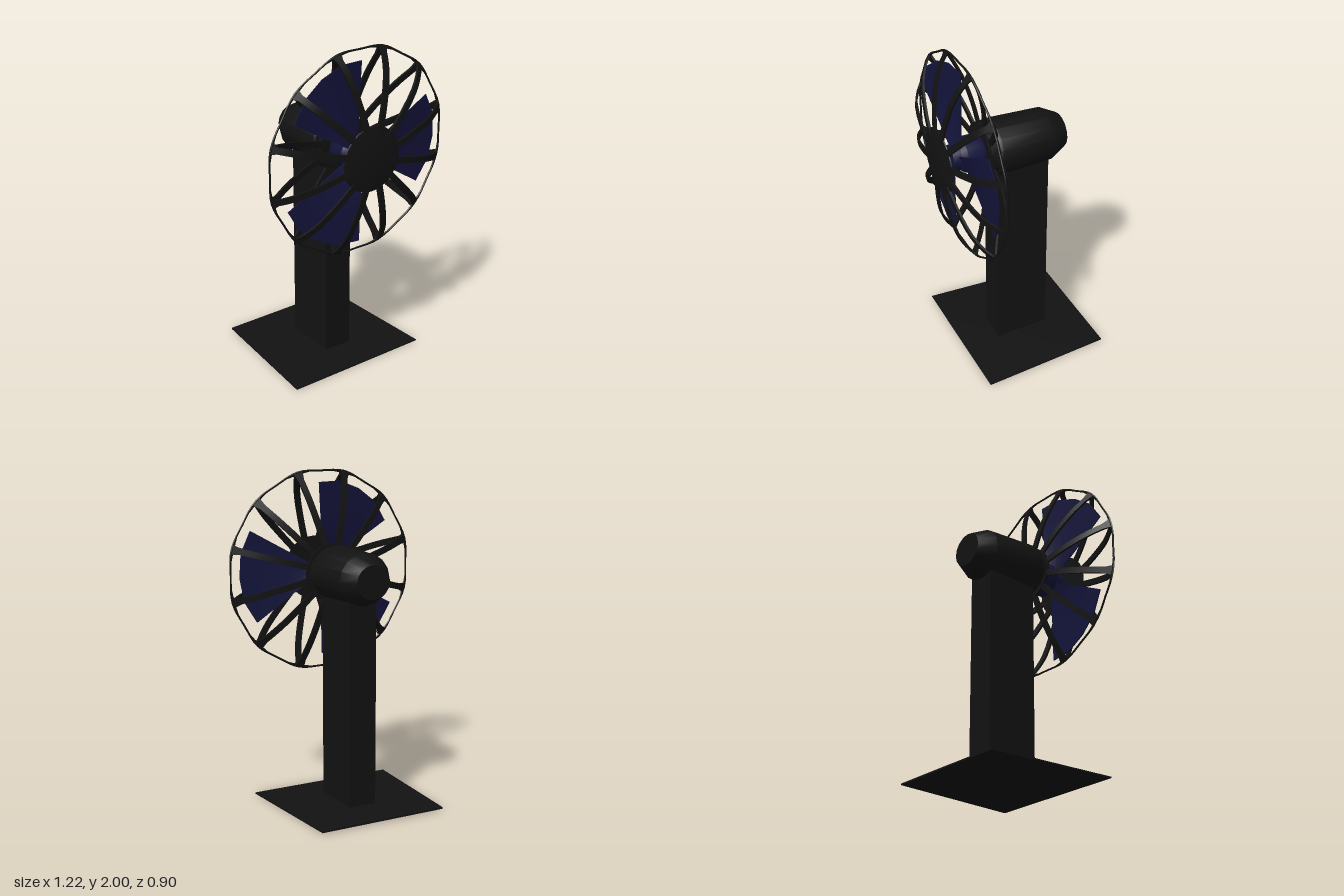
import * as THREE from 'three';
import { toCreasedNormals } from 'three/addons/utils/BufferGeometryUtils.js';

const AXIS_Y = 1.385;
const black = new THREE.MeshStandardMaterial({ color: 0x121212 });
const blue = new THREE.MeshStandardMaterial({ color: 0x14143c, side: THREE.DoubleSide });

function part(name, geometry, material, parent) {
  const mesh = new THREE.Mesh(geometry, material);
  mesh.name = name;
  parent.add(mesh);
  return mesh;
}

// Move every vertex of a geometry by a rule, then sharpen its edges
function reshape(geometry, rule) {
  const p = geometry.attributes.position;
  const v = new THREE.Vector3();
  for (let i = 0; i < p.count; i++) {
    rule(v.fromBufferAttribute(p, i));
    p.setXYZ(i, v.x, v.y, v.z);
  }
  return toCreasedNormals(geometry, 0.5);
}

// Solid of revolution about z; profile is [radius, z] from back to front
function turned(profile, sides) {
  const g = new THREE.LatheGeometry(profile.map(([r, z]) => new THREE.Vector2(r, z)), sides);
  g.rotateX(Math.PI / 2);
  return toCreasedNormals(g, 0.5);
}

// Flat bar following a curve in the radius/z plane
function spokeGeometry(points) {
  const curve = new THREE.CatmullRomCurve3(points.map(([r, z]) => new THREE.Vector3(r, 0, z)));
  return reshape(new THREE.BoxGeometry(1, 1, 1, 10, 1, 1), (v) => {
    const t = v.x + 0.5;
    const c = curve.getPoint(t);
    const flare = t > 0.95 ? 0.06 : 0.038;
    v.set(c.x, v.y * flare, c.z + v.z * 0.014);
  });
}

export function createModel() {
  const model = new THREE.Group();
  model.name = 'deskFan';

  // Thin tapered foot plate, slightly raised in the middle
  part('basePlate', reshape(new THREE.BoxGeometry(1, 1, 1, 2, 1, 2), (v) => {
    const centre = Math.max(0, 1 - 2 * Math.max(Math.abs(v.x), Math.abs(v.z)));
    const width = 0.867 + 0.112 * v.z;
    const back = 0.5 - v.z;
    const y = v.y > 0 ? 0.008 + 0.017 * centre + 0.01 * back : 0.008 * back * (1 - centre);
    v.set(v.x * width - 0.01, y, v.z * 0.8 - 0.055);
  }), black, model);

  // Upright column
  part('column', new THREE.BoxGeometry(0.18, 1.28, 0.33), black, model).position.set(0, 0.65, -0.045);

  // Motor housing with tapered tail and front collar
  const housing = part('motorHousing', turned([
    [0, -0.325], [0.108, -0.325], [0.165, -0.222], [0.178, 0.108], [0.172, 0.125],
    [0.155, 0.128], [0.155, 0.185], [0, 0.185],
  ], 16), black, model);
  housing.position.set(-0.005, 1.393, 0);
  housing.scale.y = 0.94;

  // Rotor: hub and three twisted blades
  const rotor = new THREE.Group();
  rotor.name = 'rotor';
  rotor.position.set(-0.01, AXIS_Y, 0);
  model.add(rotor);
  part('rotorHub', turned([
    [0, 0.18], [0.1, 0.18], [0.107, 0.205], [0.107, 0.295], [0.082, 0.325], [0.075, 0.375], [0, 0.375],
  ], 16), blue, rotor);
  const blade = reshape(new THREE.BoxGeometry(1, 1, 1, 4, 4, 1), (v) => {
    const angle = v.y * 1.08;
    const tip = Math.abs(v.y) > 0.4 ? 0.535 : 0.55;
    const r = THREE.MathUtils.lerp(0.08, tip, v.x + 0.5);
    v.set(r * Math.cos(angle), r * Math.sin(angle), 0.322 + 0.042 * v.y + 0.006 * v.z);
  });
  for (let i = 0; i < 3; i++) {
    part('blade', blade, blue, rotor).rotation.z = THREE.MathUtils.degToRad(-2 + i * 120);
  }

  // Guard cage: front and back spokes meeting at the rim
  const cage = new THREE.Group();
  cage.name = 'guardCage';
  cage.position.y = AXIS_Y;
  model.add(cage);
  const frontSpoke = spokeGeometry([[0.15, 0.442], [0.3, 0.426], [0.46, 0.392], [0.55, 0.35], [0.612, 0.306]]);
  const backSpoke = spokeGeometry([[0.14, 0.172], [0.3, 0.195], [0.46, 0.238], [0.612, 0.304]]);
  for (let i = 0; i < 12; i++) {
    const angle = (i + 0.5) * Math.PI / 6;
    part('frontSpoke', frontSpoke, black, cage).rotation.z = angle;
    part('backSpoke', backSpoke, black, cage).rotation.z = angle;
  }

  // Rim, slightly twelve-sided and thicker where the spokes join
  part('rim', reshape(new THREE.TorusGeometry(0.6, 0.01, 6, 96), (v) => {
    const a = Math.atan2(v.y, v.x);
    const near = 0.5 - 0.5 * Math.cos(12 * a);
    const inner = Math.hypot(v.x, v.y) - 0.61;
    const r = 0.609 + 0.013 * near + inner * (0.6 + 0.7 * near ** 4);
    v.set(r * Math.cos(a), r * Math.sin(a), 0.305 + v.z * 0.6);
  }), black, cage);

  // Front cap and rear ring of the cage
  part('frontCap', turned([
    [0, 0.433], [0.195, 0.433], [0.193, 0.44], [0.15, 0.45], [0, 0.45],
  ], 24), black, cage).position.x = -0.01;
  part('rearRing', turned([
    [0.13, 0.165], [0.172, 0.165], [0.172, 0.182], [0.13, 0.182], [0.13, 0.165],
  ], 24), black, cage);

  return model;
}
